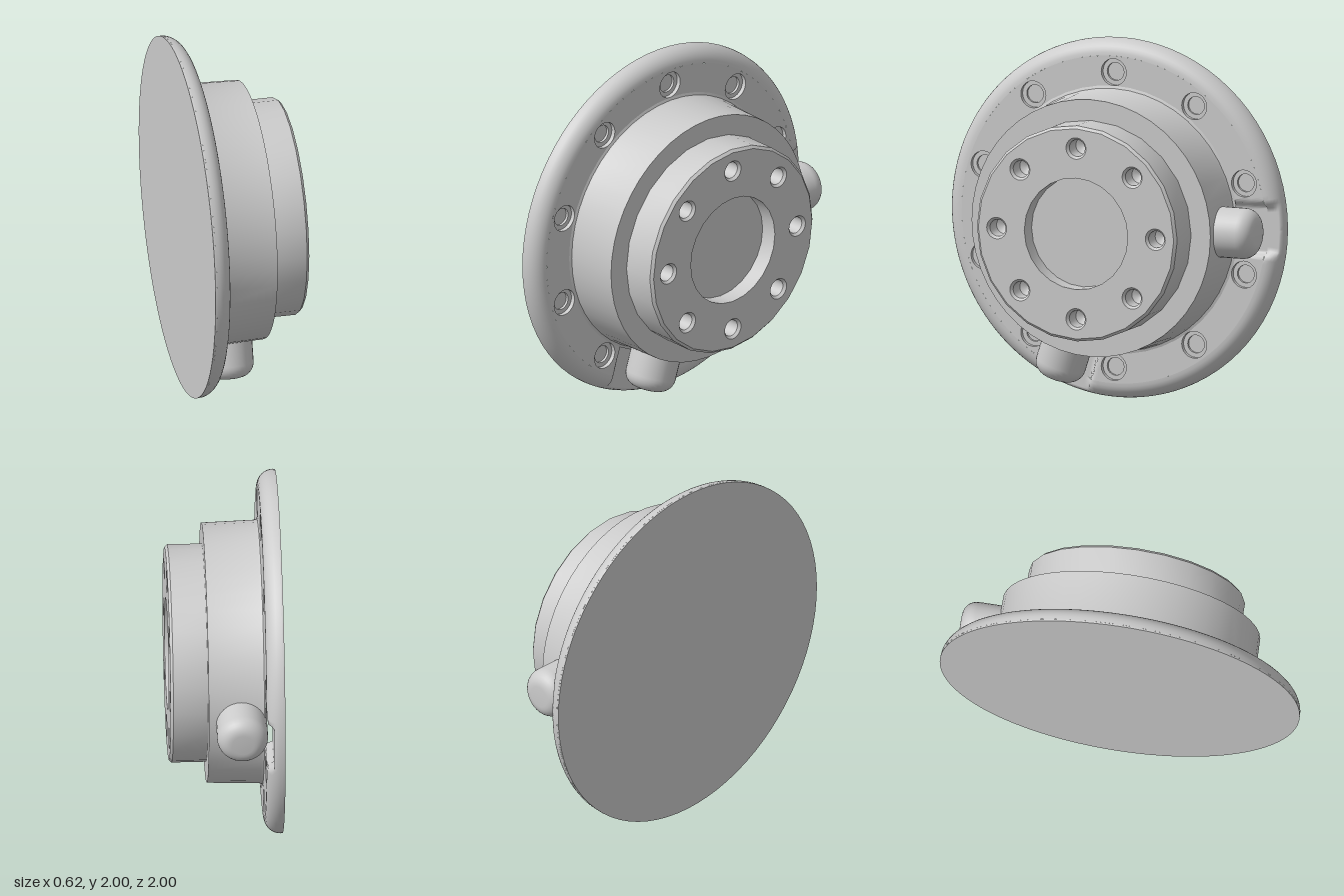
import * as THREE from 'three';
import { toCreasedNormals } from 'three/addons/utils/BufferGeometryUtils.js';

const mat = new THREE.MeshStandardMaterial({ color: 0xcccccc });
const rad = THREE.MathUtils.degToRad;
const BACK = -0.31, FACE = -0.21;      // flange back and front planes
const FITTINGS = [0, 252].map(rad);    // directions of the two side fittings
const WEDGE = rad(12.5);               // half angle of the relieved flange sectors
const polar = (r, a) => new THREE.Vector2(r * Math.cos(a), r * Math.sin(a));

function mesh(geo, name, parent) {
  const m = new THREE.Mesh(geo, mat);
  m.name = name;
  parent.add(m);
  return m;
}

// Turned part around z; profile is a list of [radius, z]
function turned(profile, segments) {
  const geo = new THREE.LatheGeometry(profile.map(p => new THREE.Vector2(...p)), segments);
  return toCreasedNormals(geo.rotateX(Math.PI / 2), 0.6);
}

function arcPoints(r, a0, a1, n) {
  return Array.from({ length: n + 1 }, (_, i) => polar(r, a0 + (a1 - a0) * i / n));
}

function circleHole(r, n, c = new THREE.Vector2()) {
  return new THREE.Path(arcPoints(r, 0, Math.PI * 2, n).slice(0, n).map(p => p.add(c)));
}

// Flange front height: flat, rounded at the rim, with a shallow relief by each fitting
function flangeHeight(r, a) {
  const t = Math.max(0, (r - 0.91) / 0.09);
  let z = FACE - 0.09 * (1 - Math.sqrt(Math.max(0, 1 - t * t)));
  for (const f of FITTINGS) {
    if (Math.cos(a - f) < 0.9) continue;
    const s = Math.abs(r * Math.sin(a - f));
    const side = THREE.MathUtils.smoothstep(s, 0.125, 0.152);
    if (side < 1) z = Math.min(z, FACE - 0.04 * (1 - side));
  }
  return z;
}

// Polar patch of the flange front
function flangePatch(radii, a0, a1, n) {
  const pos = [], index = [], w = n + 1;
  radii.forEach((r, j) => {
    for (let i = 0; i <= n; i++) {
      const a = a0 + (a1 - a0) * i / n;
      const p = polar(r, a);
      pos.push(p.x, p.y, flangeHeight(r, a));
      if (j && i) {
        const k = j * w + i;
        index.push(k - w - 1, k - 1, k, k - w - 1, k, k - w);
      }
    }
  });
  const geo = new THREE.BufferGeometry();
  geo.setAttribute('position', new THREE.Float32BufferAttribute(pos, 3));
  geo.setIndex(index);
  geo.computeVertexNormals();
  return geo;
}

function buildFlange(parent) {
  const flange = new THREE.Group();
  flange.name = 'flange';
  parent.add(flange);
  mesh(turned([[0, BACK], [1, BACK], [1, FACE - 0.09]], 80), 'flangeBack', flange);

  // Rounded rim
  const rimRadii = Array.from({ length: 9 }, (_, i) => 0.91 + 0.09 * Math.sin(i / 8 * Math.PI / 2));
  mesh(flangePatch(rimRadii, 0, Math.PI * 2, 240), 'flangeRim', flange);

  // Relieved sectors under the fittings
  for (const f of FITTINGS)
    mesh(flangePatch([0.7, 0.77, 0.84, 0.91], f - WEDGE, f + WEDGE, 40), 'fittingRelief', flange);

  // Flat sectors between them, pierced by the bolt holes
  const bolts = Array.from({ length: 10 }, (_, i) => rad(18 + 36 * i));
  const ends = [...FITTINGS, Math.PI * 2];
  for (let k = 0; k < 2; k++) {
    const a0 = ends[k] + WEDGE, a1 = ends[k + 1] - WEDGE;
    const shape = new THREE.Shape([...arcPoints(0.91, a0, a1, 80), ...arcPoints(0.7, a1, a0, 50)]);
    for (const b of bolts)
      if (b > a0 && b < a1) shape.holes.push(circleHole(0.075, 24, polar(0.82, b)));
    mesh(new THREE.ShapeGeometry(shape).translate(0, 0, FACE), 'flangeFace', flange);
  }

  // Stepped blind bolt holes
  const seat = turned([[0.075, FACE], [0.075, -0.235], [0.05, -0.235], [0.05, -0.25], [0, -0.25]], 24);
  for (const b of bolts) {
    const p = polar(0.82, b);
    mesh(seat, 'flangeBoltHole', flange).position.set(p.x, p.y, 0);
  }
}

function buildHub(parent) {
  const hub = new THREE.Group();
  hub.name = 'hub';
  parent.add(hub);

  // Main body with a small foot fillet, a shoulder, and the stepped nose
  mesh(turned([[0.745, FACE], [0.73, -0.205], [0.724, -0.19], [0.715, 0.1], [0.58, 0.1]], 48), 'body', hub);
  mesh(turned([[0.6, 0.09], [0.6, 0.29], [0.585, 0.305]], 24), 'nose', hub);

  // Nose face with centre recess and eight drilled holes
  const face = new THREE.Shape(circleHole(0.585, 24).getPoints());
  face.holes.push(circleHole(0.31, 24));
  const drill = turned([[0.06, 0.305], [0.047, 0.29], [0.047, 0.2], [0, 0.175]], 24);
  for (let i = 0; i < 8; i++) {
    const p = polar(0.475, i * Math.PI / 4);
    face.holes.push(circleHole(0.06, 24, p));
    mesh(drill, 'noseBoltHole', hub).position.set(p.x, p.y, 0);
  }
  mesh(new THREE.ShapeGeometry(face).translate(0, 0, 0.305), 'noseFace', hub);
  mesh(turned([[0.31, 0.305], [0.31, 0.205], [0, 0.205]], 24), 'centreRecess', hub);
}

// Round-ended stubs standing out radially from the body
function buildFittings(parent) {
  const profile = [new THREE.Vector2(0.14, 0.6)];
  for (let i = 0; i <= 8; i++)
    profile.push(polar(0.08, i / 8 * Math.PI / 2).add(new THREE.Vector2(0.06, 0.84)));
  profile.push(new THREE.Vector2(0, 0.92));
  const geo = toCreasedNormals(new THREE.LatheGeometry(profile, 32), 0.6);
  for (const f of FITTINGS) {
    const m = mesh(geo, 'sideFitting', parent);
    m.rotation.z = f - Math.PI / 2;
    m.position.z = -0.08;
  }
}

export function createModel() {
  const model = new THREE.Group();
  model.name = 'flangedHub';
  const axle = new THREE.Group();
  axle.name = 'hubAssembly';
  buildFlange(axle);
  buildHub(axle);
  buildFittings(axle);
  // Turn the hub axis from z to x and stand it on the ground
  axle.rotation.y = Math.PI / 2;
  axle.position.y = 1;
  model.add(axle);
  return model;
}
